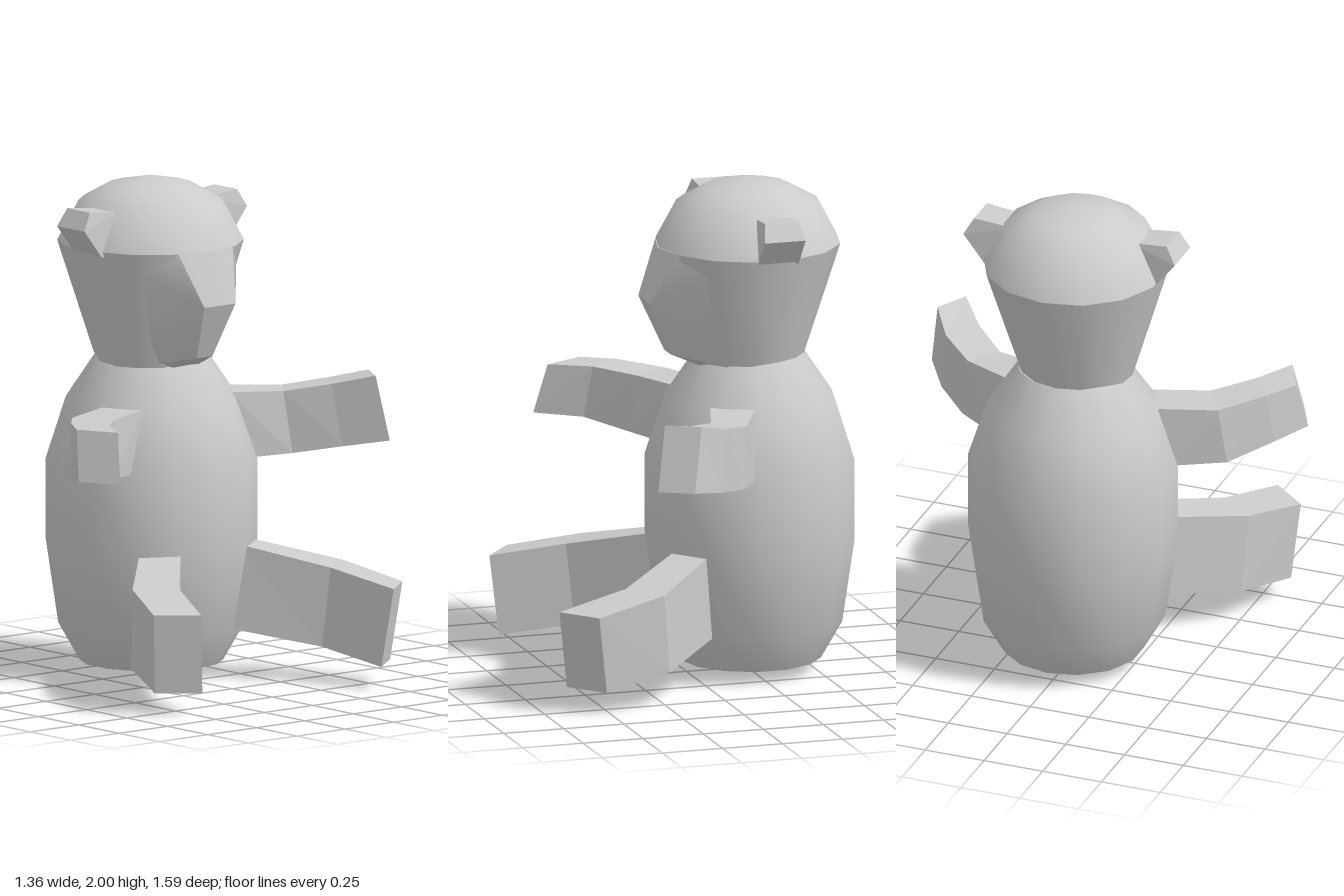
import * as THREE from 'three';
import { toCreasedNormals } from 'three/addons/utils/BufferGeometryUtils.js';
import { ConvexGeometry } from 'three/addons/geometries/ConvexGeometry.js';

const SIDES = 14;
const smooth = new THREE.MeshStandardMaterial({ color: 0xcccccc });
const flat = new THREE.MeshStandardMaterial({ color: 0xcccccc, flatShading: true });

function lathe(profile) {
  const points = profile.map(([r, y]) => new THREE.Vector2(r, y));
  return new THREE.LatheGeometry(points, SIDES, Math.PI / 2);
}

// Four-sided limb lofted through sections:
// [outer x, outer z, inner x, inner z, top y, bottom y, bottom shift x, bottom shift z]
// side is 1 for the +z limb and -1 for the -z limb; z is given as a distance.
function limbGeometry(sections, side) {
  const rings = sections.map(([ox, oz, ix, iz, top, bottom, sx, sz]) => [
    [ox, top, oz], [ix, top, iz], [ix + sx, bottom, iz + sz], [ox + sx, bottom, oz + sz],
  ].map(([x, y, z]) => [x, y, z * side]));
  const positions = [];
  const tri = (a, b, c) => positions.push(...a, ...(side > 0 ? b : c), ...(side > 0 ? c : b));
  const quad = (a, b, c, d) => { tri(a, b, c); tri(a, c, d); };
  for (let i = 0; i < rings.length - 1; i++) {
    const a = rings[i], b = rings[i + 1];
    for (let k = 0; k < 4; k++) {
      const n = (k + 1) % 4;
      quad(a[k], b[k], b[n], a[n]);
    }
  }
  quad(...rings[0]);
  quad(...[...rings[rings.length - 1]].reverse());
  const geometry = new THREE.BufferGeometry();
  geometry.setAttribute('position', new THREE.Float32BufferAttribute(positions, 3));
  geometry.computeVertexNormals();
  return geometry;
}

// Block ear: a (z, y) outline given width along x, flaring outwards
function earGeometry(x, side) {
  const outline = [[0.24, 1.89, 0.065], [0.40, 1.905, 0.07], [0.44, 1.835, 0.085], [0.35, 1.72, 0.085], [0.24, 1.74, 0.07]];
  const points = [];
  for (const [z, y, half] of outline) {
    for (const s of [-1, 1]) points.push(new THREE.Vector3(x + s * half, y, z * side));
  }
  return new ConvexGeometry(points);
}

export function createModel() {
  const model = new THREE.Group();
  model.name = 'bear';
  const add = (name, geometry, material, x = 0, z = 0) => {
    const mesh = new THREE.Mesh(geometry, material);
    mesh.name = name;
    mesh.position.set(x, 0, z);
    model.add(mesh);
    return mesh;
  };

  // Barrel-shaped body
  const body = lathe([[0, 0], [0.285, 0.05], [0.37, 0.2], [0.42, 0.54], [0.42, 0.86],
    [0.34, 1.11], [0.22, 1.29], [0, 1.3]]);
  add('body', toCreasedNormals(body, 0.7), smooth, -0.26, -0.01);

  // Head: tapered jaw below a low dome, its lower rim dipping at the front
  const head = lathe([[0, 1.27], [0.225, 1.27], [0.37, 1.74], [0.285, 1.9], [0.17, 1.965], [0, 2]]);
  const p = head.attributes.position;
  for (let i = 0; i < p.count; i++) {
    if (p.getY(i) < 1.3) p.setY(i, p.getX(i) > 0 ? 1.25 : p.getX(i) < -0.08 ? 1.29 : 1.27);
  }
  add('head', toCreasedNormals(head, 0.7), smooth, -0.255, 0);

  // Muzzle wedge running from the brow to the chin
  const muzzle = [new THREE.Vector3(0.12, 1.74, 0)];
  for (const [x, y, z] of [[0.085, 1.74, 0.14], [-0.13, 1.74, 0.34], [0.175, 1.53, 0.08],
    [0.08, 1.31, 0.04], [-0.06, 1.25, 0.07], [-0.2, 1.25, 0.2]]) {
    muzzle.push(new THREE.Vector3(x, y, z), new THREE.Vector3(x, y, -z));
  }
  add('muzzle', toCreasedNormals(new ConvexGeometry(muzzle), 0.5), smooth);

  // Ears
  add('rightEar', earGeometry(-0.22, 1), flat);
  add('leftEar', earGeometry(-0.27, -1), flat);

  // Arms, curving forwards
  add('rightArm', limbGeometry([
    [-0.18, 0.30, -0.03, 0.22, 1.11, 0.86, 0.01, 0.05],
    [-0.09, 0.54, 0.06, 0.45, 1.105, 0.87, 0.02, 0.03],
    [0.07, 0.68, 0.20, 0.59, 1.12, 0.91, 0.03, 0.03],
    [0.20, 0.76, 0.36, 0.68, 1.12, 0.92, 0.05, 0.03],
  ], 1), flat);
  add('leftArm', limbGeometry([
    [-0.18, 0.33, -0.03, 0.22, 1.13, 0.86, 0.01, 0.05],
    [-0.08, 0.53, 0.04, 0.44, 1.12, 0.87, 0.02, 0.03],
    [0.04, 0.67, 0.17, 0.58, 1.15, 0.90, 0.03, 0.03],
    [0.18, 0.76, 0.31, 0.69, 1.19, 0.93, 0.04, 0.04],
  ], -1), flat);

  // Legs, stretched forwards and slightly down
  add('rightLeg', limbGeometry([
    [-0.02, 0.25, 0.10, 0.14, 0.54, 0.20, -0.02, -0.02],
    [0.27, 0.53, 0.38, 0.38, 0.46, 0.135, -0.03, -0.02],
    [0.54, 0.645, 0.66, 0.50, 0.405, 0.085, -0.03, -0.03],
  ], 1), flat);
  add('leftLeg', limbGeometry([
    [0.0, 0.30, 0.10, 0.17, 0.54, 0.20, -0.02, -0.02],
    [0.27, 0.555, 0.38, 0.40, 0.46, 0.14, -0.03, -0.02],
    [0.56, 0.62, 0.68, 0.475, 0.405, 0.09, -0.04, -0.03],
  ], -1), flat);

  return model;
}
